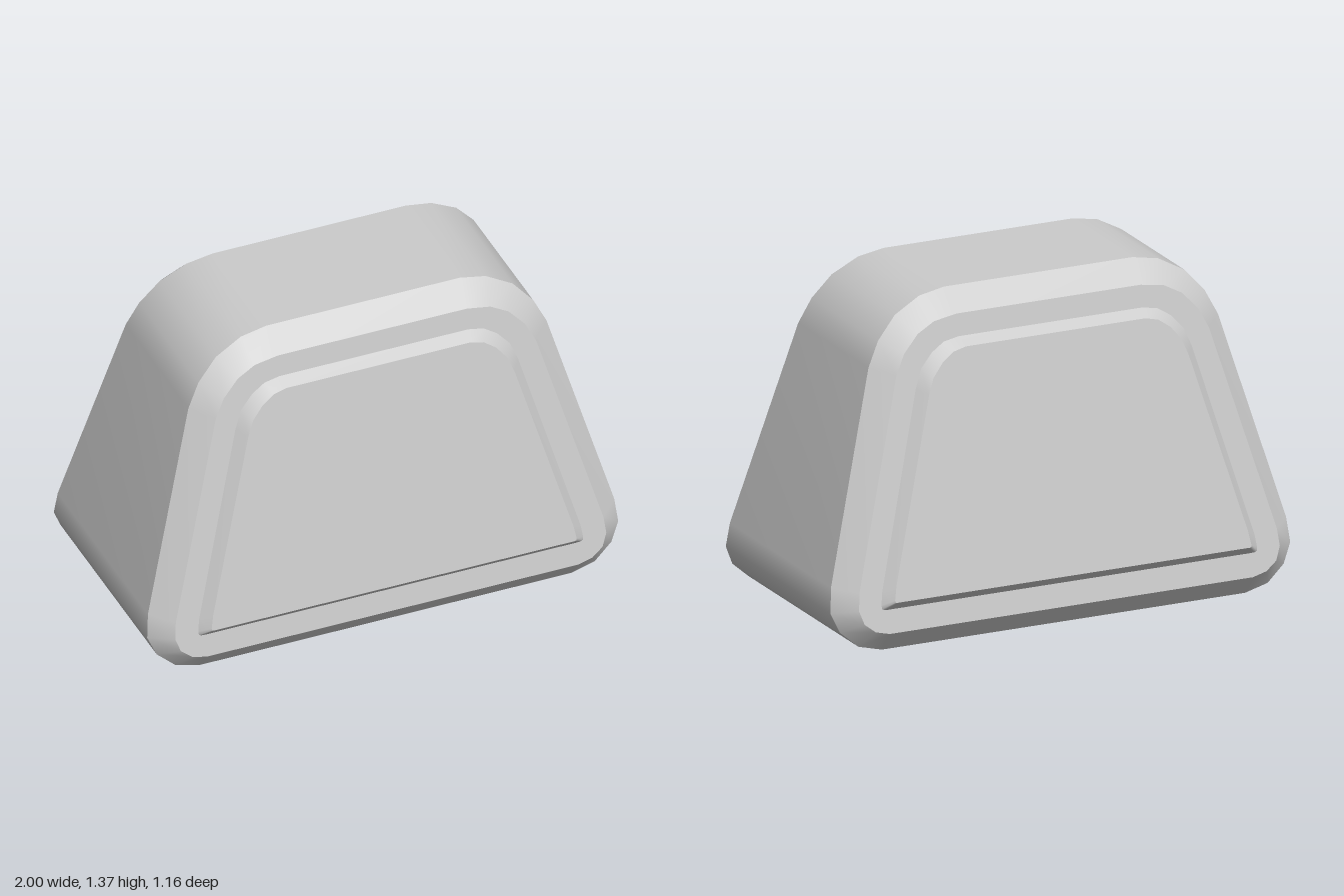
import * as THREE from 'three';

const material = new THREE.MeshStandardMaterial({ color: 0xcccccc });

// Right half of each outline, bottom to top; z leans back linearly with height.
const outer = loop([[0.79, 0], [0.89, 0.025], [0.965, 0.09], [1, 0.17], [0.99, 0.27],
  [0.76, 1.1], [0.71, 1.2], [0.63, 1.29], [0.52, 1.35], [0.41, 1.37]], 0.49, 0.164);
const rim = loop([[0.79, 0.085], [0.85, 0.1], [0.895, 0.135], [0.915, 0.19], [0.908, 0.26],
  [0.68, 1.08], [0.64, 1.16], [0.575, 1.23], [0.5, 1.27], [0.4, 1.286]], 0.574, 0.167);
const panelBase = loop([[0.79, 0.18], [0.805, 0.181], [0.815, 0.185], [0.817, 0.2], [0.81, 0.25],
  [0.6, 1.02], [0.57, 1.095], [0.52, 1.15], [0.465, 1.185], [0.4, 1.197]], 0.574, 0.167);
const panelTop = loop([[0.76, 0.215], [0.768, 0.215], [0.774, 0.217], [0.775, 0.225], [0.765, 0.28],
  [0.565, 1.0], [0.54, 1.065], [0.495, 1.12], [0.445, 1.155], [0.39, 1.168]], 0.613, 0.164);

// Mirrors a half outline into a closed counterclockwise loop.
function loop(half, z0, slope) {
  const left = half.map(([x, y]) => [-x, y]).reverse();
  return [...half, ...left].map(([x, y]) => [x, y, z0 - slope * y]);
}

function mesh(name, points, index) {
  const geometry = new THREE.BufferGeometry();
  geometry.setAttribute('position', new THREE.Float32BufferAttribute(points.flat(), 3));
  geometry.setIndex(index);
  geometry.computeVertexNormals();
  const part = new THREE.Mesh(geometry, material);
  part.name = name;
  return part;
}

// Smooth strip joining two loops.
function band(name, a, b) {
  const n = a.length;
  const index = [];
  for (let i = 0; i < n; i++) {
    const j = (i + 1) % n;
    index.push(i, j, n + j, i, n + j, n + i);
  }
  return mesh(name, [...a, ...b], index);
}

// Flat convex face filling a loop.
function cap(name, a) {
  const index = [];
  for (let i = 1; i < a.length - 1; i++) index.push(0, i, i + 1);
  return mesh(name, a, index);
}

function createFace(name) {
  const face = new THREE.Group();
  face.name = name;
  face.add(
    band('bevel', outer, rim),
    band('rim', rim, panelBase),
    band('panelEdge', panelBase, panelTop),
    cap('panel', panelTop)
  );
  return face;
}

export function createModel() {
  const model = new THREE.Group();
  model.name = 'taperedBlock';

  // Wall wrapping around between front and back
  const back = outer.map(([x, y, z]) => [x, y, -z]);
  model.add(band('bodyWall', back, outer));

  // Matching front and back faces with raised panels
  const backFace = createFace('backFace');
  backFace.rotation.y = Math.PI;
  model.add(createFace('frontFace'), backFace);
  return model;
}
